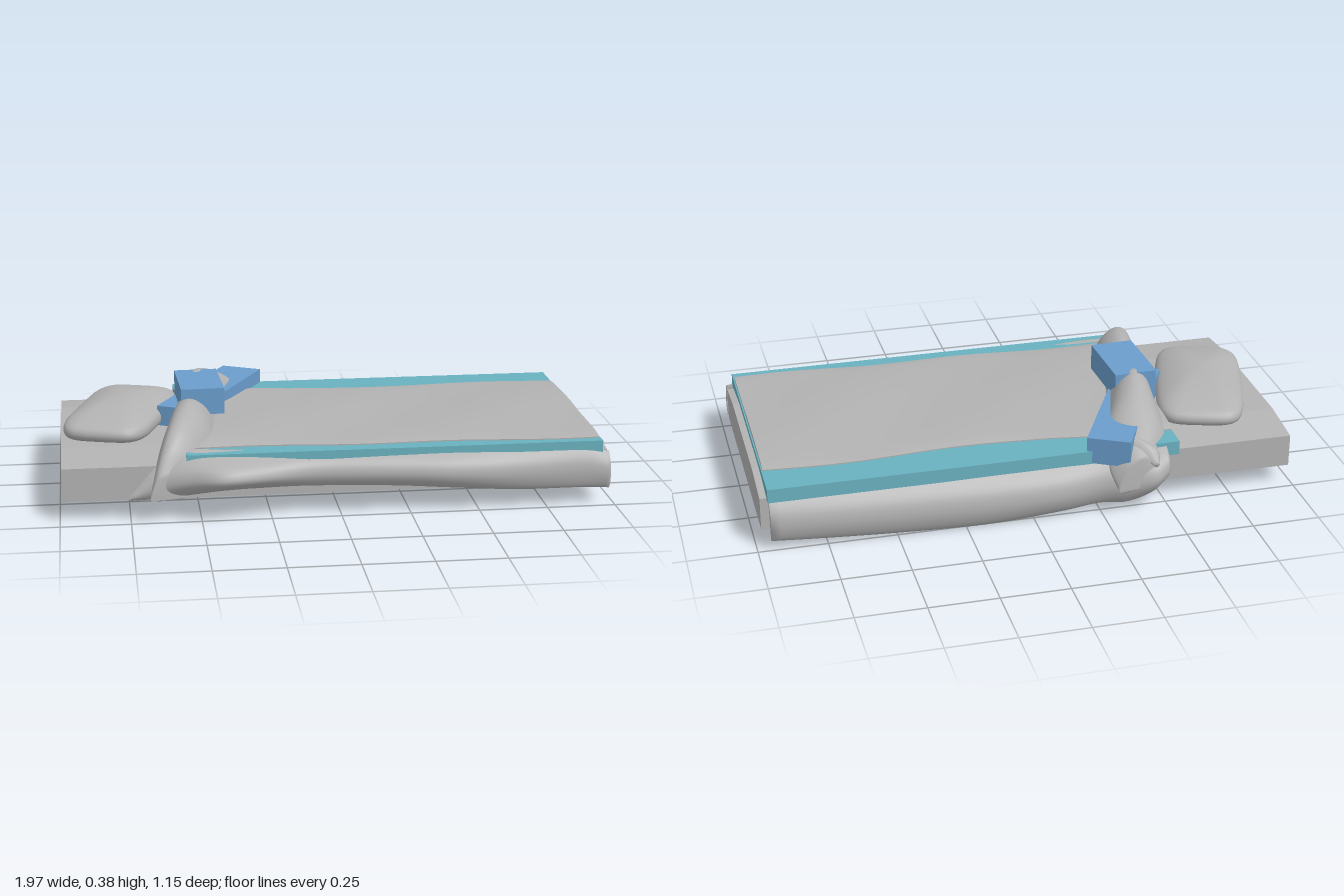
import * as THREE from 'three';

const V = (x, y, z) => new THREE.Vector3(x, y, z);

// Smooth closed skin through a row of rings, with capped ends
function loft(rings, along, around) {
  const n = rings[0].length;
  const lines = [];
  for (let k = 0; k < n; k++) {
    const curve = new THREE.CatmullRomCurve3(rings.map(r => r[k]), false, 'centripetal');
    const row = [];
    // sample by station so that the columns stay aligned
    for (let i = 0; i <= along; i++) row.push(curve.getPoint(i / along));
    lines.push(row);
  }
  const pos = [], index = [];
  for (let i = 0; i <= along; i++) {
    const ring = new THREE.CatmullRomCurve3(lines.map(l => l[i]), true, 'centripetal');
    for (let j = 0; j < around; j++) pos.push(...ring.getPoint(j / around).toArray());
  }
  for (let i = 0; i < along; i++) {
    for (let j = 0; j < around; j++) {
      const a = i * around + j, b = i * around + (j + 1) % around;
      index.push(a, b, a + around, b, b + around, a + around);
    }
  }
  const last = along * around;
  for (let j = 1; j < around - 1; j++) {
    index.push(0, j + 1, j, last, last + j, last + j + 1);
  }
  const g = new THREE.BufferGeometry();
  g.setAttribute('position', new THREE.Float32BufferAttribute(pos, 3));
  g.setIndex(index);
  g.computeVertexNormals();
  return g;
}

export function createModel() {
  const model = new THREE.Group();
  const grey = new THREE.MeshStandardMaterial({ color: 0xb2b2b2, side: THREE.DoubleSide });
  grey.name = 'grey cloth';
  const teal = new THREE.MeshStandardMaterial({ color: 0x6ab1bf });
  teal.name = 'teal';
  const blue = new THREE.MeshStandardMaterial({ color: 0x6a9dcb });
  blue.name = 'blue';

  const add = (name, geometry, material, x = 0, y = 0, z = 0, yaw = 0) => {
    const mesh = new THREE.Mesh(geometry, material);
    mesh.name = name;
    mesh.position.set(x, y, z);
    mesh.rotation.y = yaw;
    model.add(mesh);
    return mesh;
  };

  // Mattress with a slightly crowned top
  const section = new THREE.Shape([[-0.435, 0.075], [0.465, 0.075], [0.465, 0.197],
    [0.28, 0.22], [-0.25, 0.22], [-0.435, 0.197]].map(p => new THREE.Vector2(...p)));
  const mattress = new THREE.ExtrudeGeometry(section, { depth: 1.97, bevelEnabled: false });
  add('mattress', mattress, grey, -0.99, 0, 0, Math.PI / 2);

  // Teal under-blanket, overhanging the mattress sides
  add('underBlanket', new THREE.BoxGeometry(1.505, 0.052, 0.96), teal, 0.2025, 0.216, -0.01);

  // Rumpled top sheet with uneven long edges
  const sheet = new THREE.BoxGeometry(1.5, 0.02, 1, 50, 1, 30);
  const p = sheet.attributes.position;
  for (let i = 0; i < p.count; i++) {
    const x = p.getX(i) + 0.2, t = p.getZ(i) + 0.5, top = p.getY(i) > 0;
    const back = -0.35 + 0.012 * Math.sin(x * 7) + (x < -0.1 ? (x + 0.1) * 0.12 : 0);
    const front = 0.405 + 0.03 * x + 0.008 * Math.sin(x * 9 + 1);
    const swell = Math.pow(Math.sin(Math.PI * t), 0.5);
    const wrinkle = 0.004 * Math.sin(x * 8 + t * 5) + 0.002 * Math.sin(x * 19 - t * 9);
    const lift = x < -0.1 ? 0.02 * (-0.1 - x) : 0;
    p.setXYZ(i, x, top ? 0.246 + swell * (0.012 + wrinkle + lift) : 0.236, back + t * (front - back));
  }
  sheet.computeVertexNormals();
  add('topSheet', sheet, grey);

  // Hanging sides: [x, top, bottom, outer z, inner z]
  const drape = (name, side, stations) => {
    const rings = stations.map(([x, top, low, out, inn]) => {
      const h = top - low, w = out - inn;
      return [[inn, top], [inn + w * 0.45, top - h * 0.12], [out - w * 0.1, top - h * 0.35],
        [out, low + h * 0.35], [out - w * 0.3, low + h * 0.06], [inn + w * 0.45, low],
        [inn + w * 0.3, low + h * 0.4]].map(([z, y]) => V(x, y, z * side));
    });
    add(name, loft(rings, 60, 28), grey);
  };
  drape('frontDrape', 1, [
    [-0.75, 0.10, 0.08, 0.470, 0.455], [-0.65, 0.20, 0.083, 0.485, 0.43],
    [-0.55, 0.245, 0.095, 0.520, 0.41], [-0.42, 0.243, 0.118, 0.568, 0.415],
    [-0.25, 0.238, 0.117, 0.530, 0.42], [-0.12, 0.236, 0.112, 0.497, 0.425],
    [0.20, 0.232, 0.103, 0.507, 0.435], [0.40, 0.230, 0.090, 0.518, 0.44],
    [0.65, 0.224, 0.072, 0.505, 0.45], [0.90, 0.217, 0.070, 0.494, 0.46],
    [0.98, 0.20, 0.066, 0.500, 0.46]]);
  drape('backDrape', -1, [
    [-0.50, 0.24, 0.11, 0.545, 0.46], [-0.44, 0.235, 0.068, 0.574, 0.455],
    [-0.35, 0.225, 0.032, 0.555, 0.46], [-0.25, 0.215, 0.032, 0.530, 0.46],
    [-0.10, 0.21, 0.020, 0.542, 0.46], [0.15, 0.207, 0.006, 0.542, 0.465],
    [0.40, 0.205, 0.010, 0.535, 0.467], [0.70, 0.203, 0.024, 0.526, 0.468],
    [0.95, 0.20, 0.038, 0.512, 0.468]]);

  // Turned-down head of the bedding: [z, left x, right x, top, base]
  const roll = [
    [0.49, -0.68, -0.55, 0.17, 0.09], [0.44, -0.665, -0.50, 0.26, 0.14],
    [0.38, -0.645, -0.475, 0.312, 0.20], [0.29, -0.625, -0.445, 0.343, 0.23],
    [0.18, -0.605, -0.43, 0.355, 0.235], [0.08, -0.59, -0.42, 0.345, 0.235],
    [-0.04, -0.57, -0.395, 0.338, 0.235], [-0.15, -0.555, -0.37, 0.384, 0.235],
    [-0.25, -0.545, -0.335, 0.37, 0.235], [-0.35, -0.535, -0.295, 0.335, 0.23],
    [-0.43, -0.52, -0.29, 0.298, 0.215], [-0.50, -0.49, -0.28, 0.265, 0.17],
    [-0.565, -0.455, -0.30, 0.225, 0.11]];
  add('turnedDownFold', loft(roll.map(([z, l, r, top, base]) => {
    const w = r - l, h = top - base;
    return [[0, 0], [0.06, 0.45], [0.22, 0.88], [0.45, 1], [0.72, 0.8], [0.92, 0.4], [1, 0], [0.5, -0.02]]
      .map(([u, v]) => V(l + w * u, base + h * v, z + 0.03 * (0.5 - u)));
  }), 70, 32), grey);

  // Small loose corner of the fold at the back
  add('foldCorner', loft([[-0.36, 0.27, -0.47, 0.03], [-0.42, 0.235, -0.53, 0.035], [-0.44, 0.2, -0.565, 0.012]]
    .map(([x, y, z, s]) => [V(x - s, y, z), V(x, y + s * 0.6, z), V(x + s, y, z), V(x, y - s, z)]), 10, 12), grey);

  // Pillow: rounded outline, upright rim and a low dome
  const layers = [[0.222, 0.93], [0.232, 0.98], [0.25, 1], [0.27, 0.97], [0.288, 0.84],
    [0.305, 0.62], [0.319, 0.34], [0.324, 0.03]];
  add('pillow', loft(layers.map(([y, s]) => {
    const ring = [];
    for (let i = 0; i < 24; i++) {
      const a = i / 24 * Math.PI * 2, c = Math.cos(a), d = Math.sin(a);
      const e = v => Math.sign(v) * Math.pow(Math.abs(v), 0.45);
      ring.push(V(0.165 * s * e(c), y, -0.31 * s * e(d)));
    }
    return ring;
  }), 14, 48), grey, -0.765, 0, -0.075, -0.3);

  // Two blue blocks, one on the fold and one tucked beneath it
  add('upperBlock', new THREE.BoxGeometry(0.16, 0.098, 0.28), blue, -0.472, 0.333, -0.04, 0.04);
  add('lowerBlock', new THREE.BoxGeometry(0.16, 0.1, 0.626), blue, -0.417, 0.245, -0.24, -0.48);

  return model;
}
